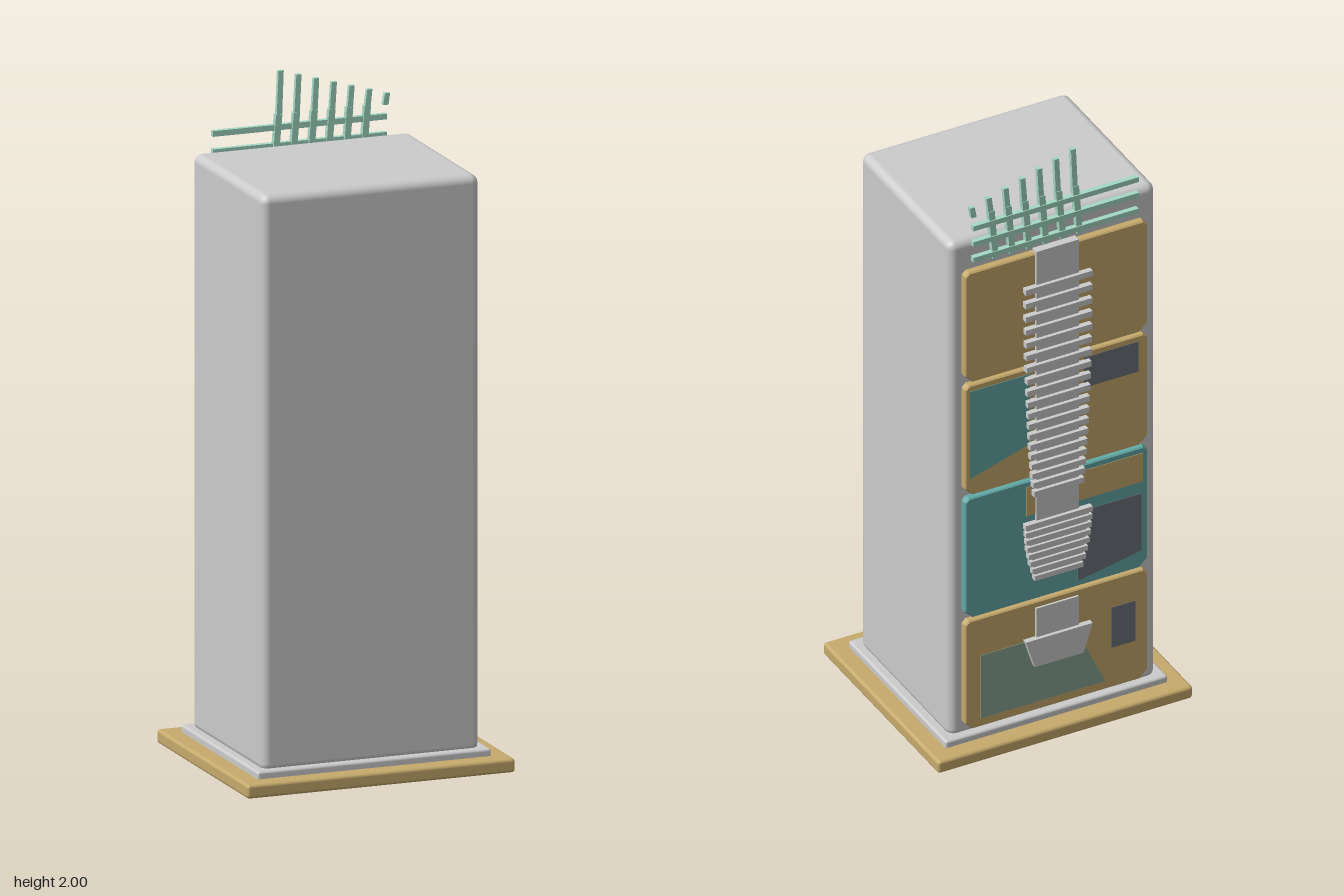
import * as THREE from 'three';
import { RoundedBoxGeometry } from 'three/addons/geometries/RoundedBoxGeometry.js';

const mat = (color) => new THREE.MeshStandardMaterial({ color });
const grey = mat(0xcccccc), gold = mat(0xc6aa6c), teal = mat(0x62aaa8);
const mint = mat(0xa4d8c4), slate = mat(0x6c727c), sage = mat(0x88a391);

export function createModel() {
  const root = new THREE.Group();

  const add = (name, geometry, material, x = 0, y = 0, z = 0, parent = root) => {
    const mesh = new THREE.Mesh(geometry, material);
    mesh.name = name;
    mesh.position.set(x, y, z);
    parent.add(mesh);
    return mesh;
  };
  const group = (name) => {
    const g = new THREE.Group();
    g.name = name;
    root.add(g);
    return g;
  };
  // Rounded block given by its limits
  const block = (name, x0, x1, y0, y1, z0, z1, r, material) => add(name,
    new RoundedBoxGeometry(x1 - x0, y1 - y0, z1 - z0, 2, r), material,
    (x0 + x1) / 2, (y0 + y1) / 2, (z0 + z1) / 2);
  // Flat outline extruded from z0 to z1
  const plate = (name, points, z0, z1, material, parent, bevel = 0) => {
    const shape = new THREE.Shape(points.map(([x, y]) => new THREE.Vector2(x, y)));
    const geometry = new THREE.ExtrudeGeometry(shape, {
      depth: z1 - z0 - 2 * bevel, bevelEnabled: bevel > 0, bevelSize: bevel,
      bevelOffset: -bevel, bevelThickness: bevel, bevelSegments: 1,
    });
    return add(name, geometry, material, 0, 0, z0 + bevel, parent);
  };

  // Base, plinth and tower
  block('base', -0.42, 0.42, 0, 0.042, -0.355, 0.355, 0.01, gold);
  block('plinth', -0.366, 0.366, 0.03, 0.064, -0.3, 0.3, 0.008, grey);
  block('tower', -0.341, 0.341, 0.05, 1.782, -0.275, 0.275, 0.026, grey);

  // Four rear panels with clipped corners
  const panels = group('rearPanels');
  const panel = (name, y0, y1, material) => {
    const w = 0.3, c = 0.025;
    plate(name, [[-w + c, y0], [w - c, y0], [w, y0 + c], [w, y1 - c / 2],
      [w - c / 2, y1], [-w + c / 2, y1], [-w, y1 - c / 2], [-w, y0 + c]],
    -0.298, -0.27, material, panels, 0.004);
  };
  panel('upperPanel', 1.295, 1.68, gold);
  panel('middlePanel', 0.9, 1.285, gold);
  panel('lowerPanel', 0.47, 0.89, teal);
  panel('bottomPanel', 0.08, 0.46, gold);

  // Coloured fields lying on the panels
  const field = (name, points, material) =>
    plate(name, points, -0.2995, -0.297, material, panels);
  field('middleTealField', [[0.09, 1.02], [0.285, 0.96], [0.285, 1.265], [0.09, 1.265]], teal);
  field('middleSlateField', [[-0.27, 1.16], [-0.09, 1.16], [-0.09, 1.265], [-0.27, 1.265]], slate);
  field('lowerSlateField', [[-0.28, 0.53], [-0.07, 0.49], [-0.07, 0.73], [-0.28, 0.73]], slate);
  field('lowerGoldField', [[-0.285, 0.77], [0.1, 0.77], [0.1, 0.87], [-0.285, 0.87]], gold);
  field('bottomSageField', [[-0.16, 0.11], [0.25, 0.11], [0.25, 0.33], [-0.06, 0.33]], sage);
  field('bottomSlateField', [[-0.26, 0.22], [-0.18, 0.22], [-0.18, 0.36], [-0.26, 0.36]], slate);

  // Central spine strips
  const spine = group('spine');
  for (const [y0, y1] of [[0.84, 1.69], [0.55, 0.86], [0.25, 0.44]]) {
    add('spineStrip', new THREE.BoxGeometry(0.14, y1 - y0, 0.025), grey,
      0, (y0 + y1) / 2, -0.2925, spine);
  }

  // Ribs grow closer and narrower towards the bottom
  const ribs = (count, top, bottom, ease, wide, narrow, height) => {
    for (let i = 0; i < count; i++) {
      const t = i / (count - 1);
      const y = top + (bottom - top) * (t + ease * t * (1 - t));
      const w = wide + (narrow - wide) * t * t;
      add('rib', new THREE.BoxGeometry(w, height, 0.02), grey, 0, y, -0.306, spine);
    }
  };
  ribs(19, 1.565, 0.85, 0.22, 0.22, 0.165, 0.019);
  ribs(8, 0.74, 0.555, 0, 0.22, 0.16, 0.017);
  plate('ribBacking', [[-0.075, 0.55], [0.075, 0.55], [0.105, 0.745], [-0.105, 0.745]],
    -0.308, -0.297, grey, spine);
  plate('lowerBlock', [[-0.08, 0.245], [0.08, 0.245], [0.11, 0.34], [-0.11, 0.34]],
    -0.316, -0.296, grey, spine);

  // Lattice above the rear panels: three rails and seven leaning bars
  const lattice = group('lattice');
  for (const y of [1.83, 1.775, 1.72]) {
    add('rail', new THREE.BoxGeometry(0.545, 0.017, 0.016), mint, 0, y, -0.288, lattice);
  }
  for (let i = 0; i < 7; i++) {
    const x = -0.06 + i * 0.0555;
    const top = 2 - i * 0.0165;
    const low = i < 6 ? 1.7 : top - 0.035;
    const mid = i < 6 ? 1.87 : low;
    if (i < 6) {
      plate('barLower', [[x - 0.03, low], [x - 0.012, low], [x + 0.003, mid], [x - 0.017, mid]],
        -0.293, -0.275, mint, lattice);
    }
    plate('barUpper', [[x - 0.014, mid], [x + 0.003, mid], [x + 0.008, top], [x - 0.008, top]],
      -0.291, -0.277, mint, lattice);
  }
  return root;
}
